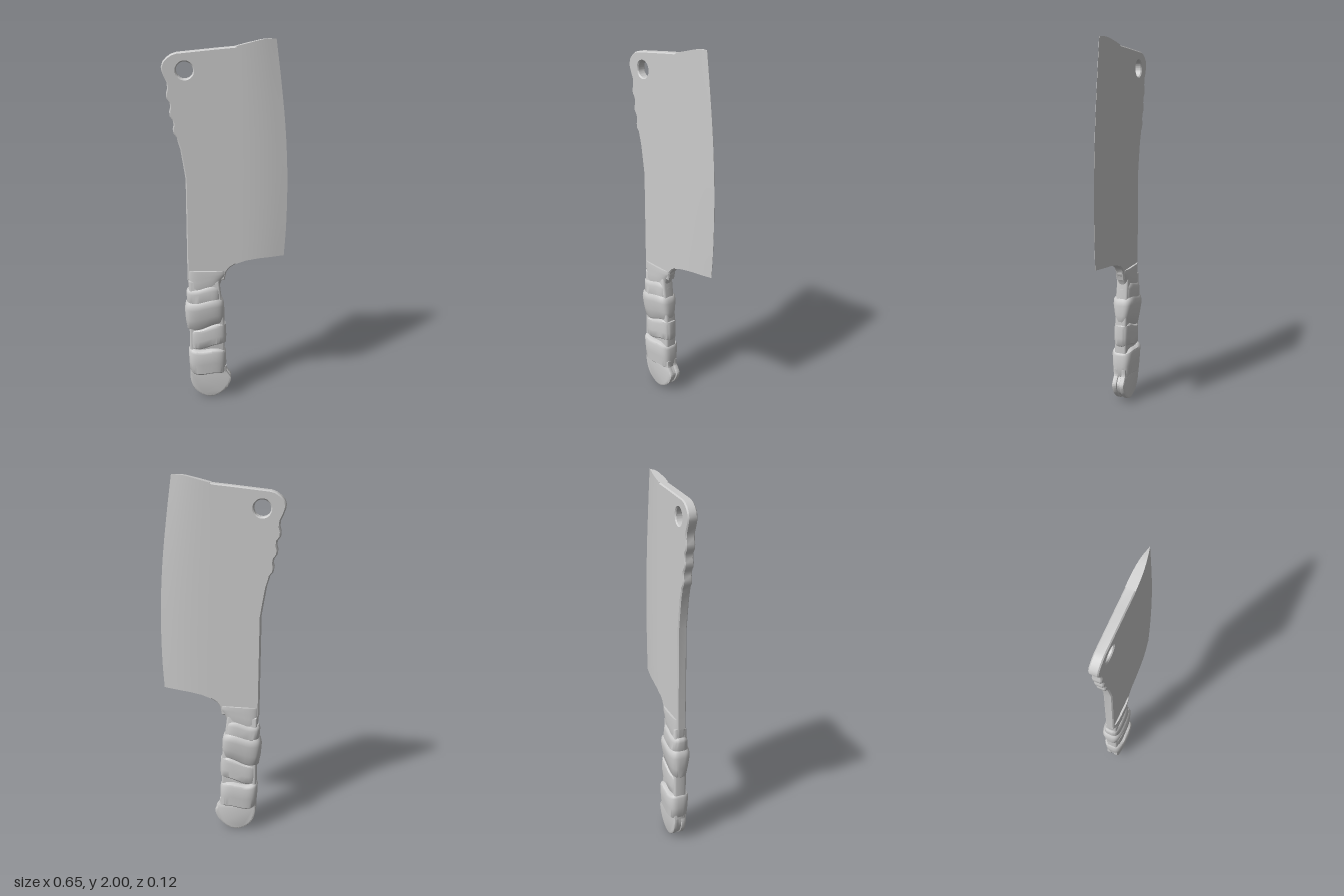
import * as THREE from 'three';
import { toCreasedNormals } from 'three/addons/utils/BufferGeometryUtils.js';

const material = new THREE.MeshStandardMaterial({ color: 0xcccccc });
const HALF = 0.0245; // half thickness of the blade
const SEAM = 0.05; // x where the blade starts to thin

const points = (list) => list.map(([x, y]) => new THREE.Vector2(x, y));

// Linear interpolation through [key, value] pairs with rising keys
function lookup(table, k) {
  for (let i = 1; i < table.length; i++) {
    const [a, va] = table[i - 1], [b, vb] = table[i];
    if (k <= b) return THREE.MathUtils.lerp(va, vb, (k - a) / (b - a));
  }
  return table[table.length - 1][1];
}

// Skin closed rings of equal length (counter-clockwise seen from above, going up), caps included
function loft(rings, crease) {
  const n = rings[0].length, pos = rings.flat(2), index = [];
  for (let r = 0; r < rings.length - 1; r++) {
    for (let i = 0; i < n; i++) {
      const a = r * n + i, b = r * n + (i + 1) % n;
      index.push(a, b, b + n, a, b + n, a + n);
    }
  }
  // caps join mirrored ring points: i with n - 1 - i
  const top = (rings.length - 1) * n;
  for (let i = 0; i < n / 2 - 1; i++) {
    const j = n - 1 - i;
    index.push(i, j, i + 1, i + 1, j, j - 1);
    index.push(top + i, top + i + 1, top + j, top + i + 1, top + j - 1, top + j);
  }
  const geometry = new THREE.BufferGeometry();
  geometry.setAttribute('position', new THREE.Float32BufferAttribute(pos, 3));
  geometry.setIndex(index);
  return toCreasedNormals(geometry, crease);
}

// Bevelled slab between z0 and z1 whose outline keeps the shape's size
function slab(shape, z0, z1, size, thickness, segments = 1) {
  const geometry = new THREE.ExtrudeGeometry(shape, {
    depth: z1 - z0 - 2 * thickness, bevelEnabled: true, bevelSize: size,
    bevelThickness: thickness, bevelOffset: -size, bevelSegments: segments, curveSegments: 24,
  });
  geometry.translate(0, 0, z0 + thickness);
  return toCreasedNormals(geometry, 0.6);
}

// Blade outline: lower and upper border by x, cutting edge by height fraction
const lower = [[0, 0.77], [0.02, 0.795], [0.05, 0.815], [0.1, 0.833], [0.17, 0.845], [0.312, 0.855]];
const upper = [[-0.25, 1.935], [-0.05, 1.955], [0.04, 1.963], [0.1, 1.978], [0.17, 1.995], [0.2, 2], [0.25, 2]];
const cuttingEdge = new THREE.CatmullRomCurve3([
  [0.312, 0], [0.32, 0.13], [0.322, 0.3], [0.317, 0.45], [0.302, 0.63], [0.275, 0.83], [0.248, 1],
].map(([x, v]) => new THREE.Vector3(x, v, 0)));

function bladeBody() {
  const seam = SEAM + 0.006;
  const shape = new THREE.Shape(points([
    [-0.212, 0.72], [-0.01, 0.72], [0, 0.77], [0.02, 0.795],
    [seam, lookup(lower, seam)], [seam, lookup(upper, seam)],
    [0.04, 1.963], [-0.05, 1.955], [-0.25, 1.935], [-0.275, 1.927], [-0.3, 1.91],
    [-0.318, 1.89], [-0.326, 1.865], [-0.323, 1.845], [-0.312, 1.815], [-0.3, 1.79],
    // thumb grip scallops along the spine
    [-0.297, 1.76], [-0.304, 1.735], [-0.302, 1.71], [-0.287, 1.69], [-0.284, 1.665],
    [-0.29, 1.645], [-0.288, 1.62], [-0.273, 1.6], [-0.269, 1.575], [-0.274, 1.555],
    [-0.27, 1.53], [-0.254, 1.51], [-0.25, 1.49], [-0.238, 1.45], [-0.225, 1.37], [-0.213, 1.29],
  ]));
  shape.holes.push(new THREE.Path().absarc(-0.209, 1.848, 0.043, 0, Math.PI * 2, true));
  return slab(shape, -HALF, HALF, 0.006, 0.006);
}

// Ground part of the blade, thinning in a curve to the cutting edge
function bladeEdge() {
  const rings = [], rows = 28, columns = 10;
  for (let r = 0; r <= rows; r++) {
    const edge = cuttingEdge.getPoint(r / rows), v = edge.y;
    const front = [];
    for (let c = 0; c <= columns; c++) {
      const u = c / columns;
      const x = THREE.MathUtils.lerp(SEAM, edge.x, u);
      const y = THREE.MathUtils.lerp(lookup(lower, x), lookup(upper, x), v);
      front.push([x, y, Math.max(0.0008, HALF * (1 - u ** 2.4))]);
    }
    rings.push([...front, ...front.map(([x, y, z]) => [x, y, -z]).reverse()]);
  }
  return loft(rings, 0.6);
}

// Handle wrap: rows of [y, left x, right x, half depth, rise towards +x]
function wrap(rows) {
  const sides = 32;
  const power = (t, e) => Math.sign(t) * Math.abs(t) ** e;
  return loft(rows.map(([y, x0, x1, depth, rise]) => {
    const ring = [];
    for (let i = 0; i < sides; i++) {
      const a = -((i + 0.5) / sides) * Math.PI * 2 + Math.PI;
      const side = power(Math.cos(a), 0.6);
      const wave = 0.008 * Math.sin(side * 3);
      ring.push([
        (x0 + x1) / 2 + side * (x1 - x0) / 2,
        y + rise * side / 2 + (rise ? wave : 0),
        power(Math.sin(a), 0.6) * depth,
      ]);
    }
    return ring;
  }), 0.7);
}

const wraps = {
  collar: [
    [0.67, -0.205, -0.04, 0.034, 0.01], [0.69, -0.208, -0.033, 0.037, 0.01],
    [0.72, -0.21, -0.02, 0.037, 0.01], [0.74, -0.212, -0.004, 0.037, 0.005],
    [0.76, -0.212, 0, 0.037, 0], [0.775, -0.212, -0.002, 0.036, 0],
  ],
  upperWrap: [
    [0.585, -0.215, -0.03, 0.045, 0], [0.6, -0.217, -0.03, 0.05, 0.005],
    [0.65, -0.22, -0.032, 0.046, 0.01], [0.665, -0.218, -0.035, 0.044, 0.012],
    [0.675, -0.21, -0.042, 0.036, 0.012],
  ],
  wideWrap: [
    [0.44, -0.205, -0.02, 0.034, 0.035], [0.45, -0.217, -0.012, 0.041, 0.035],
    [0.5, -0.226, -0.01, 0.05, 0.025], [0.56, -0.23, -0.012, 0.06, 0.015],
    [0.59, -0.224, -0.018, 0.058, 0.01], [0.603, -0.212, -0.028, 0.048, 0.008],
  ],
  middleWrap: [
    [0.32, -0.19, -0.01, 0.036, 0.025], [0.33, -0.2, -0.002, 0.045, 0.025],
    [0.37, -0.204, 0, 0.047, 0.025], [0.42, -0.203, -0.002, 0.047, 0.03],
    [0.435, -0.2, -0.004, 0.045, 0.035], [0.443, -0.19, -0.015, 0.036, 0.035],
  ],
  lowerWrap: [
    [0.152, -0.2, -0.012, 0.044, -0.01], [0.162, -0.206, -0.003, 0.054, -0.01],
    [0.22, -0.21, 0, 0.058, -0.012], [0.285, -0.212, -0.002, 0.062, -0.015],
    [0.298, -0.207, -0.006, 0.057, -0.015], [0.306, -0.195, -0.018, 0.042, -0.015],
  ],
};

// Rounded butt of the handle, with an optional inset
function pommelShape(inset = 0) {
  const shape = new THREE.Shape();
  const k = 1 - inset;
  const p = ([x, y]) => [-0.1 + (x + 0.1) * k, 0.1 + (y - 0.1) * k];
  shape.moveTo(...p([0, 0.2]));
  shape.lineTo(...p([-0.2, 0.2]));
  shape.splineThru(points([
    [-0.204, 0.12], [-0.185, 0.06], [-0.145, 0.02], [-0.095, 0.002], [-0.045, 0.015],
    [0, 0.052], [0.022, 0.09], [0.027, 0.118], [0.012, 0.145], [0, 0.165], [0, 0.2],
  ].map(p)));
  return shape;
}

export function createModel() {
  const model = new THREE.Group();
  model.name = 'cleaver';
  const add = (name, geometry, parent = model) => {
    const mesh = new THREE.Mesh(geometry, material);
    mesh.name = name;
    parent.add(mesh);
  };

  // Blade
  const blade = new THREE.Group();
  blade.name = 'blade';
  model.add(blade);
  add('bladeBody', bladeBody(), blade);
  add('cuttingEdge', bladeEdge(), blade);

  // Handle: core, overlapping wraps and a two-sided butt
  const handle = new THREE.Group();
  handle.name = 'handle';
  model.add(handle);
  const core = new THREE.Shape(points([[-0.205, 0.15], [-0.01, 0.15], [-0.01, 0.46], [-0.04, 0.72], [-0.205, 0.72]]));
  add('handleCore', slab(core, -0.034, 0.034, 0.012, 0.012, 3), handle);
  for (const [name, rows] of Object.entries(wraps)) add(name, wrap(rows), handle);
  add('tangEnd', slab(pommelShape(0.06), -0.012, 0.012, 0.002, 0.002), handle);
  add('frontPommelScale', slab(pommelShape(), 0.007, 0.037, 0.012, 0.008, 3), handle);
  add('backPommelScale', slab(pommelShape(), -0.037, -0.007, 0.012, 0.008, 3), handle);
  return model;
}
